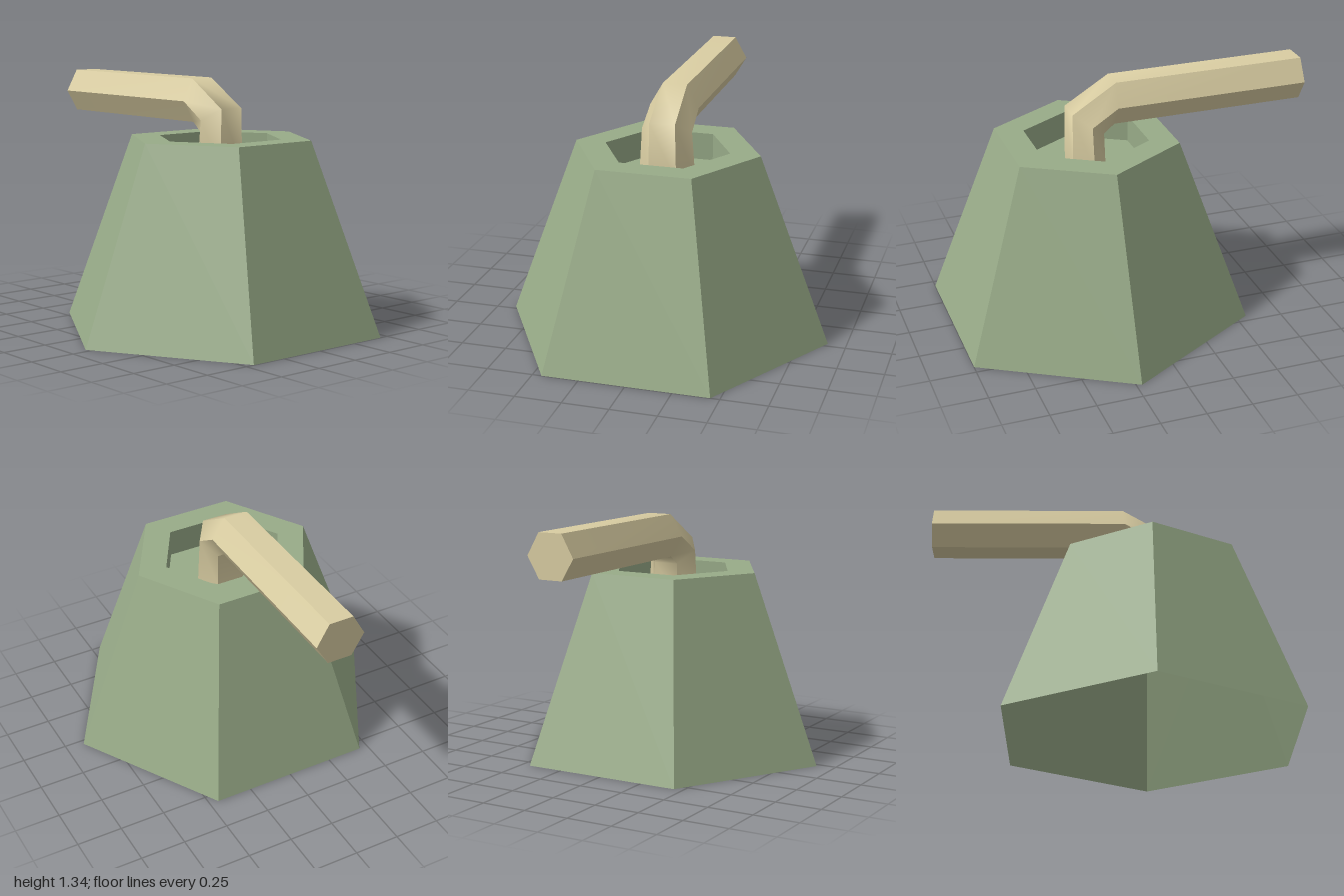
import * as THREE from 'three';

const CENTER_Z = 0.22;

// Hexagonal hollow base, open underneath, with a hexagonal recess in the top
function makeBase() {
  const profile = [
    [0.9, 0], [0.51, 1.03], [0.345, 1.03], [0.345, 0.88], [0, 0.88],
  ].map(([r, y]) => new THREE.Vector2(r, y));
  const geometry = new THREE.LatheGeometry(profile, 6, Math.PI / 2);
  const base = new THREE.Mesh(geometry, new THREE.MeshStandardMaterial({
    color: 0x98ab88, flatShading: true, side: THREE.DoubleSide,
  }));
  base.name = 'base';
  base.position.z = CENTER_Z;
  return base;
}

// One hexagonal ring of the bent handle; outer, mid and inner are [y, z]
function ring(halfFlat, halfWide, outer, mid, inner) {
  return [
    [halfFlat, ...outer], [halfWide, ...mid], [halfFlat, ...inner],
    [-halfFlat, ...inner], [-halfWide, ...mid], [-halfFlat, ...outer],
  ];
}

// Hexagonal handle: smooth along the bend, sharp between its six sides
function makeHandle() {
  const rings = [
    ring(0.077, 0.155, [0.88, 0.317], [0.88, 0.22], [0.88, 0.135]),
    ring(0.07, 0.138, [1.19, 0.315], [1.13, 0.225], [1.06, 0.14]),
    ring(0.067, 0.135, [1.342, 0.07], [1.222, 0.08], [1.107, 0.08]),
    ring(0.067, 0.135, [1.342, -1], [1.222, -1], [1.107, -1]),
  ];
  const positions = [];
  const indices = [];

  // Each side is its own strip of vertices
  for (let side = 0; side < 6; side++) {
    const start = positions.length / 3;
    rings.forEach((r) => positions.push(...r[side], ...r[(side + 1) % 6]));
    for (let i = 0; i < rings.length - 1; i++) {
      const a = start + i * 2;
      indices.push(a, a + 2, a + 1, a + 1, a + 2, a + 3);
    }
  }

  // Flat cap on the free end
  const cap = positions.length / 3;
  rings[rings.length - 1].forEach((p) => positions.push(...p));
  for (let i = 1; i < 5; i++) indices.push(cap, cap + i + 1, cap + i);

  // Reverse the winding so every face points outward
  for (let i = 0; i < indices.length; i += 3) {
    const a = new THREE.Vector3().fromArray(positions, indices[i] * 3);
    const b = new THREE.Vector3().fromArray(positions, indices[i + 1] * 3);
    const c = new THREE.Vector3().fromArray(positions, indices[i + 2] * 3);
    const middle = a.clone().add(b).add(c).divideScalar(3);
    // Nearest point on the handle's centre line
    const path = [[0.88, 0.22], [1.13, 0.225], [1.222, 0.08], [1.222, -0.9]];
    const nearest = new THREE.Vector3();
    let best = Infinity;
    for (let k = 0; k < path.length - 1; k++) {
      const line = new THREE.Line3(
        new THREE.Vector3(0, ...path[k]), new THREE.Vector3(0, ...path[k + 1]));
      const p = line.closestPointToPoint(middle, true, new THREE.Vector3());
      const d = p.distanceTo(middle);
      if (d < best) { best = d; nearest.copy(p); }
    }
    const normal = b.clone().sub(a).cross(c.clone().sub(a));
    if (normal.dot(middle.sub(nearest)) < 0) {
      [indices[i + 1], indices[i + 2]] = [indices[i + 2], indices[i + 1]];
    }
  }

  const geometry = new THREE.BufferGeometry();
  geometry.setAttribute('position', new THREE.Float32BufferAttribute(positions, 3));
  geometry.setIndex(indices);
  geometry.computeVertexNormals();
  const handle = new THREE.Mesh(geometry, new THREE.MeshStandardMaterial({ color: 0xd9cda2 }));
  handle.name = 'handle';
  return handle;
}

export function createModel() {
  const model = new THREE.Group();
  model.name = 'hexagonalBaseWithHandle';
  model.add(makeBase(), makeHandle());
  return model;
}
